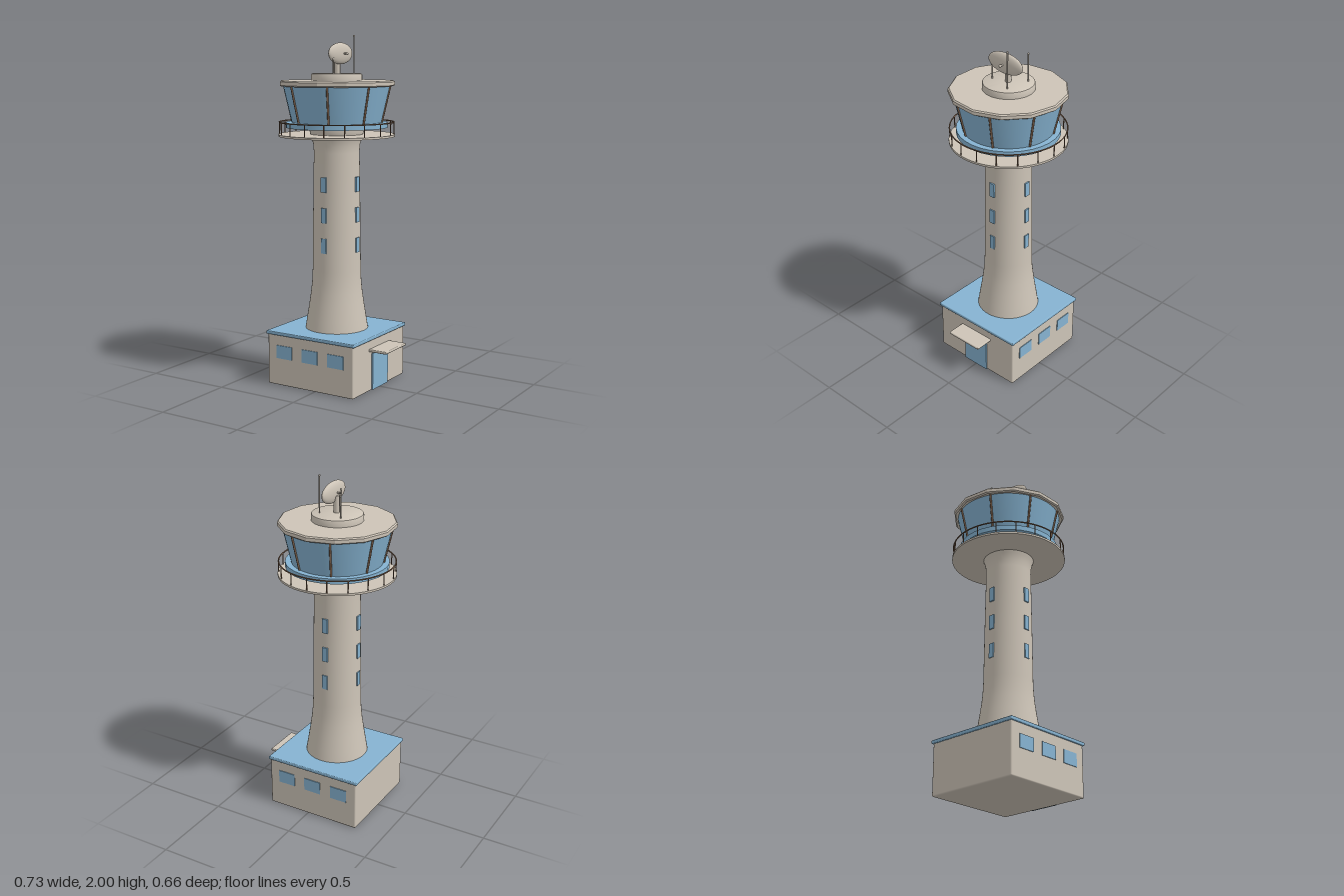
import * as THREE from 'three';
import { RoundedBoxGeometry } from 'three/addons/geometries/RoundedBoxGeometry.js';
import { toCreasedNormals } from 'three/addons/utils/BufferGeometryUtils.js';

export function createModel() {
  const root = new THREE.Group();
  root.name = 'controlTower';
  const concrete = new THREE.MeshStandardMaterial({ color: 0xcdc4b7 });
  concrete.name = 'concrete';
  const blue = new THREE.MeshStandardMaterial({ color: 0x86b3d1 });
  blue.name = 'blue';
  const brown = new THREE.MeshStandardMaterial({ color: 0x80644f });
  brown.name = 'brown';

  // Everything round shares the tower axis, so it lives in one shifted group
  const AX = -0.033;
  const tower = new THREE.Group();
  tower.name = 'tower';
  tower.position.x = AX;
  root.add(tower);

  const add = (parent, name, geo, mat, x = 0, y = 0, z = 0) => {
    const m = new THREE.Mesh(geo, mat);
    m.name = name;
    m.position.set(x, y, z);
    parent.add(m);
    return m;
  };
  const block = (parent, name, mat, w, h, d, x, y, z, r = 0.006) =>
    add(parent, name, new RoundedBoxGeometry(w, h, d, 2, r), mat, x, y, z);
  const plate = (parent, name, mat, w, h, d, x, y, z) =>
    add(parent, name, new THREE.BoxGeometry(w, h, d), mat, x, y, z);
  const lathe = (name, mat, pts, sides = 48, crease = 0.6) =>
    add(tower, name, toCreasedNormals(
      new THREE.LatheGeometry(pts.map(p => new THREE.Vector2(...p)), sides), crease), mat);
  // Thin round bar between two points
  const bar = (parent, name, mat, a, b, r) => {
    const from = new THREE.Vector3(...a), to = new THREE.Vector3(...b);
    const dir = to.clone().sub(from);
    const m = add(parent, name, new THREE.CylinderGeometry(r, r, dir.length(), 8), mat);
    m.position.copy(from).add(to).multiplyScalar(0.5);
    m.quaternion.setFromUnitVectors(new THREE.Vector3(0, 1, 0), dir.normalize());
    return m;
  };

  // Base building
  block(root, 'baseBuilding', concrete, 0.576, 0.297, 0.576, AX, 0.1485, 0, 0.008);
  block(root, 'baseRoof', blue, 0.592, 0.02, 0.592, AX, 0.305, 0, 0.005);
  plate(root, 'door', blue, 0.009, 0.212, 0.172, 0.2585, 0.109, 0);
  block(root, 'doorCanopy', concrete, 0.125, 0.015, 0.23, 0.3025, 0.238, 0, 0.005);
  for (const side of [1, -1])
    for (const i of [-1, 0, 1])
      plate(root, 'baseWindow', blue, 0.106, 0.076, 0.009, AX + i * 0.174, 0.198, side * 0.288);

  // Shaft with a flared foot and head
  lathe('shaft', concrete, [
    [0, 0.31], [0.183, 0.31], [0.172, 0.38], [0.159, 0.46], [0.149, 0.53], [0.143, 0.59],
    [0.140, 0.66], [0.136, 1.0], [0.131, 1.34], [0.133, 1.38], [0.141, 1.415],
    [0.150, 1.44], [0.155, 1.46], [0.155, 1.5], [0, 1.5]]);

  // Slit windows on four sides
  for (let q = 0; q < 4; q++) {
    const set = new THREE.Group();
    set.name = 'shaftWindows';
    set.rotation.y = q * Math.PI / 2;
    for (const y of [0.812, 0.987, 1.162])
      plate(set, 'shaftWindow', blue, 0.033, 0.085, 0.009, 0, y, 0.1385);
    tower.add(set);
  }

  // Gallery deck and railing
  lathe('galleryDeck', concrete, [[0, 1.43], [0.332, 1.43], [0.332, 1.442], [0, 1.442]], 64);
  const rail = add(tower, 'galleryRail', new THREE.TorusGeometry(0.326, 0.004, 6, 64), brown, 0, 1.511, 0);
  rail.rotation.x = Math.PI / 2;
  for (let i = 0; i < 18; i++) {
    const a = i * Math.PI / 9, x = 0.326 * Math.sin(a), z = 0.326 * Math.cos(a);
    bar(tower, 'railPost', brown, [x, 1.44, z], [x, 1.511, z], 0.003);
  }

  // Cab: sill, sloping glass and mullions
  const sill = add(tower, 'cabSill', toCreasedNormals(
    new THREE.CylinderGeometry(0.29, 0.29, 0.03, 32), 0.6), blue, 0, 1.495, 0);
  sill.rotation.y = Math.PI;
  lathe('cabGlass', blue, [[0.255, 1.505], [0.305, 1.72]], 48);
  for (let i = 0; i < 8; i++) {
    const a = (i + 0.5) * Math.PI / 4, s = Math.sin(a), c = Math.cos(a);
    bar(tower, 'cabMullion', brown, [0.257 * s, 1.505, 0.257 * c], [0.307 * s, 1.72, 0.307 * c], 0.006);
  }

  // Thirteen-sided roof with a corner at the back, and a round cap
  const roof = lathe('cabRoof', concrete, [
    [0, 1.713], [0.322, 1.713], [0.33, 1.719], [0.33, 1.738], [0.323, 1.745], [0, 1.745]], 13, 0.2);
  roof.rotation.y = Math.PI;
  lathe('roofCap', concrete, [
    [0.145, 1.744], [0.145, 1.776], [0.142, 1.782], [0.136, 1.785], [0, 1.785]], 48, 0.5);

  // Radar dish on its mast
  const radar = new THREE.Group();
  radar.name = 'radar';
  root.add(radar);
  bar(radar, 'radarMast', concrete, [-0.028, 1.78, 0], [-0.028, 1.88, 0], 0.017);
  bar(radar, 'radarArm', concrete, [-0.056, 1.895, 0], [0.035, 1.895, 0], 0.005);
  add(radar, 'radarFeed', new THREE.SphereGeometry(0.008, 12, 8), concrete, 0.036, 1.895, 0);
  add(radar, 'radarDish', new THREE.SphereGeometry(1, 32, 20), concrete, -0.008, 1.896, 0)
    .scale.set(0.025, 0.06, 0.121);

  // Whip antennas with ball tips
  for (const [x, z, top] of [[-0.1, -0.08, 1.945], [0.045, -0.06, 1.995], [0, 0.09, 1.87]]) {
    bar(root, 'antenna', concrete, [x, 1.78, z], [x, top, z], 0.004);
    add(root, 'antennaTip', new THREE.SphereGeometry(0.006, 10, 8), concrete, x, top - 0.001, z);
  }
  return root;
}
